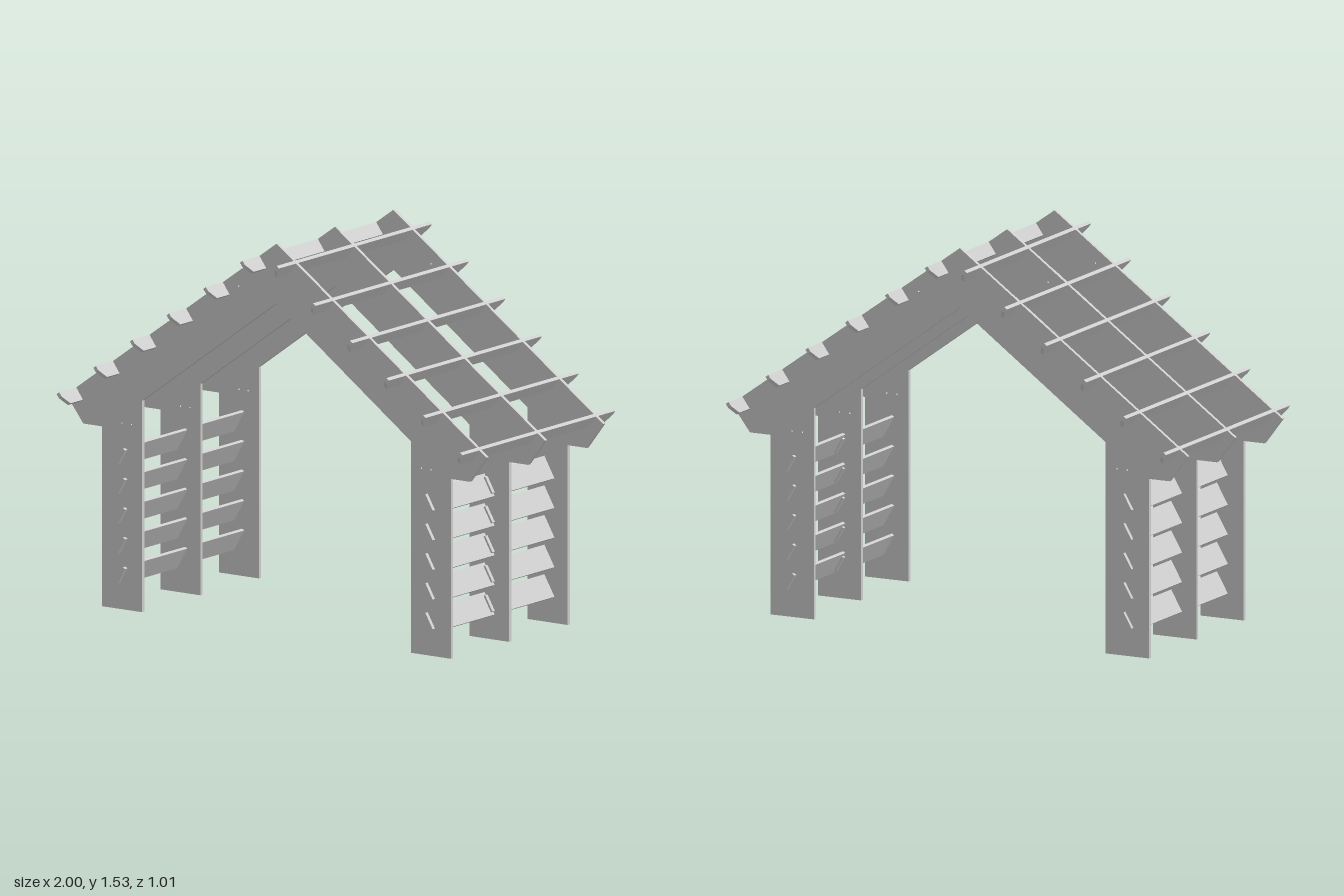
import * as THREE from 'three';

const material = new THREE.MeshStandardMaterial({ color: 0xcccccc });
const FRAME_T = 0.015;   // sheet thickness of the portal frames
const FRAME_Z = 0.385;   // distance of the outer frames from the middle one
const SLOPE = Math.atan2(0.72, 1);

const shapeOf = (pts) => new THREE.Shape(pts.map(([x, y]) => new THREE.Vector2(x, y)));

// Flat sheet cut from an outline, centred on its thickness
function sheet(shape, thickness) {
  return new THREE.ExtrudeGeometry(shape, { depth: thickness, bevelEnabled: false, curveSegments: 4 })
    .translate(0, 0, -thickness / 2);
}

// Board running along z: the outline's x maps to z and its y to the "up" direction
function board(name, geometry, up, position) {
  const along = new THREE.Vector3(0, 0, 1);
  const normal = new THREE.Vector3().crossVectors(along, up);
  const mesh = new THREE.Mesh(geometry, material);
  mesh.name = name;
  mesh.quaternion.setFromRotationMatrix(new THREE.Matrix4().makeBasis(along, up, normal));
  mesh.position.copy(position);
  return mesh;
}

// Portal frame: two posts and two rafters in one sheet, with small fixing holes
function frameGeometry() {
  const half = [[1, 0.815], [0.92, 0.71], [0.83, 0.71], [0.83, 0], [0.64, 0], [0.64, 0.835]];
  const mirrored = half.map(([x, y]) => [-x, y]).reverse();
  const shape = shapeOf([[0, 1.535], ...half, [0, 1.3], ...mirrored]);
  for (const s of [-1, 1]) {
    for (const [x, y] of [[0.69, 0.735], [0.735, 0.735], [0.18, 1.345]]) {
      shape.holes.push(new THREE.Path().absarc(s * x, y, 0.003, 0, Math.PI * 2, true));
    }
  }
  return sheet(shape, FRAME_T);
}

// Roof batten with lower corners cut away; its top edge lies at y = 0
function battenGeometry() {
  return sheet(shapeOf([
    [-0.475, -0.055], [0.475, -0.055], [0.505, -0.018], [0.505, 0],
    [-0.505, 0], [-0.505, -0.018],
  ]), 0.015);
}

// Wall slat filling one bay, with a hooked tab through the frame at each end
function slatGeometry() {
  const w = (FRAME_Z - FRAME_T) / 2, h = 0.048;
  const neck = w + FRAME_T, tip = neck + 0.016;
  const end = [[w, -h], [w, -0.022], [neck, -0.022], [neck, -0.036], [tip, -0.036], [tip, 0.034], [w, 0.034], [w, h]];
  const other = end.map(([x, y]) => [-x, y]).reverse();
  return sheet(shapeOf([...end, ...other]), 0.012);
}

export function createModel() {
  const model = new THREE.Group();
  model.name = 'pergola';

  // Three portal frames
  const frameGeo = frameGeometry();
  for (const z of [-FRAME_Z, 0, FRAME_Z]) {
    const frame = new THREE.Mesh(frameGeo, material);
    frame.name = 'portalFrame';
    frame.position.z = z;
    model.add(frame);
  }

  const battenGeo = battenGeometry();
  const slatGeo = slatGeometry();
  for (const side of [-1, 1]) {
    // Roof battens, square to the slope and flush with its top edge
    const roof = new THREE.Group();
    roof.name = side > 0 ? 'leftRoofBattens' : 'rightRoofBattens';
    const roofUp = new THREE.Vector3(side * Math.sin(SLOPE), Math.cos(SLOPE), 0);
    for (let i = 0; i < 6; i++) {
      const x = 0.087 + i * 0.1745;
      roof.add(board('roofBatten', battenGeo, roofUp, new THREE.Vector3(side * x, 1.535 - 0.72 * x, 0)));
    }

    // Wall slats tilted like louvres, slightly staggered between the two bays
    const wall = new THREE.Group();
    wall.name = side > 0 ? 'leftWallSlats' : 'rightWallSlats';
    const tilt = Math.PI / 6;
    const slatUp = new THREE.Vector3(-side * Math.sin(tilt), Math.cos(tilt), 0);
    for (let i = 0; i < 5; i++) {
      for (const bay of [-1, 1]) {
        const shift = -bay * 0.004;
        wall.add(board('wallSlat', slatGeo, slatUp, new THREE.Vector3(
          side * (0.735 + shift * Math.cos(tilt)),
          0.14 + i * 0.117 + shift * Math.sin(tilt),
          bay * FRAME_Z / 2,
        )));
      }
    }
    model.add(roof, wall);
  }
  return model;
}
